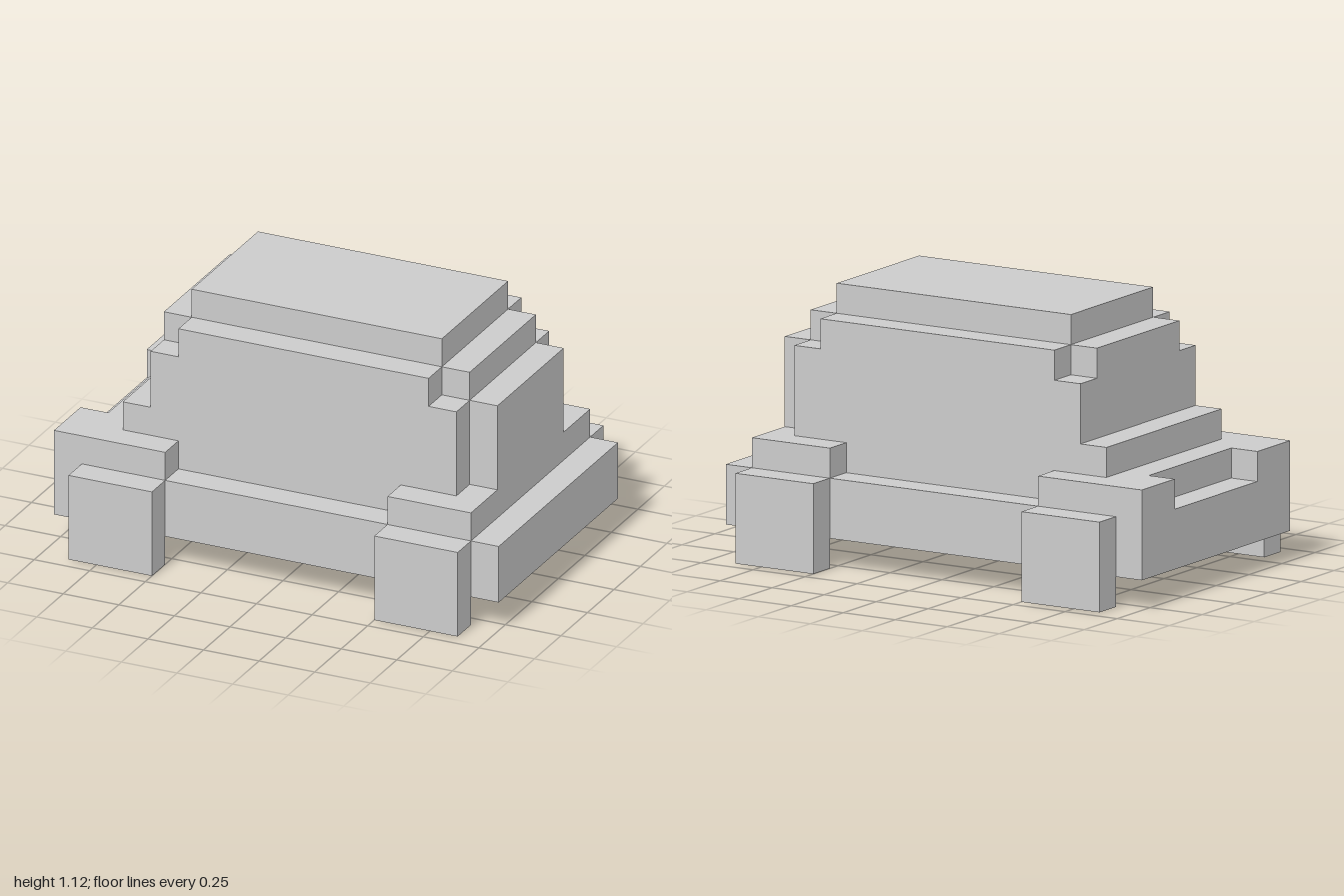
import * as THREE from 'three';

const material = new THREE.MeshStandardMaterial({ color: 0xcccccc, flatShading: true });
const U = 0.125; // one block

export function createModel() {
  const model = new THREE.Group();
  model.name = 'blockCar';

  const add = (name, geometry) => {
    const mesh = new THREE.Mesh(geometry, material);
    mesh.name = name;
    model.add(mesh);
  };

  // Box from its limits, in blocks
  const box = (name, x0, x1, y0, y1, z0, z1) => add(name,
    new THREE.BoxGeometry((x1 - x0) * U, (y1 - y0) * U, (z1 - z0) * U)
      .translate((x0 + x1) * U / 2, (y0 + y1) * U / 2, (z0 + z1) * U / 2));

  // Extruded outline, in blocks
  const extrude = (points, depth) => new THREE.ExtrudeGeometry(
    new THREE.Shape(points.map(([a, b]) => new THREE.Vector2(a * U, b * U))),
    { depth: depth * U, bevelEnabled: false });

  // Plan outline (x, z) one block thick on top of the chassis
  const plate = (name, points) =>
    add(name, extrude(points, 1).rotateX(Math.PI / 2).translate(0, 4 * U, 0));

  box('chassis', -8, 8, 1, 3, -4.5, 4.5);

  // Stepped cabin, from its side profile
  add('cabin', extrude([
    [-6, 3], [6, 3], [6, 7], [5, 7], [5, 8], [-4, 8],
    [-4, 7], [-5, 7], [-5, 5], [-6, 5],
  ], 7).translate(0, 0, -3.5 * U));

  // Narrower blocks that round off the cabin
  box('roof', -4, 5, 8, 9, -2.5, 2.5);
  box('roofStepLeft', 5, 6, 7, 8, -2.5, 2.5);
  box('roofStepRight', -5, -4, 7, 8, -2.5, 2.5);
  box('endPanel', 6, 7, 3, 7, -2.5, 2.5);

  // Deck with a notch in its edge, wrapping round the cabin
  plate('notchedDeck', [
    [-8, -4.5], [-4, -4.5], [-4, -3.5], [-6, -3.5], [-6, 3.5], [-4, 3.5],
    [-4, 4.5], [-8, 4.5], [-8, 2.5], [-7, 2.5], [-7, -2.5], [-8, -2.5],
  ]);

  for (const s of [1, -1]) {
    // L-shaped fender around the cabin corner
    plate('fender', [
      [4, 4.5 * s], [7, 4.5 * s], [7, 2.5 * s], [6, 2.5 * s], [6, 3.5 * s], [4, 3.5 * s],
    ]);
    // Square wheels
    for (const x of [-7, 4]) box('wheel', x, x + 3, 0, 3, 5 * s - 0.5, 5 * s + 0.5);
  }
  return model;
}
